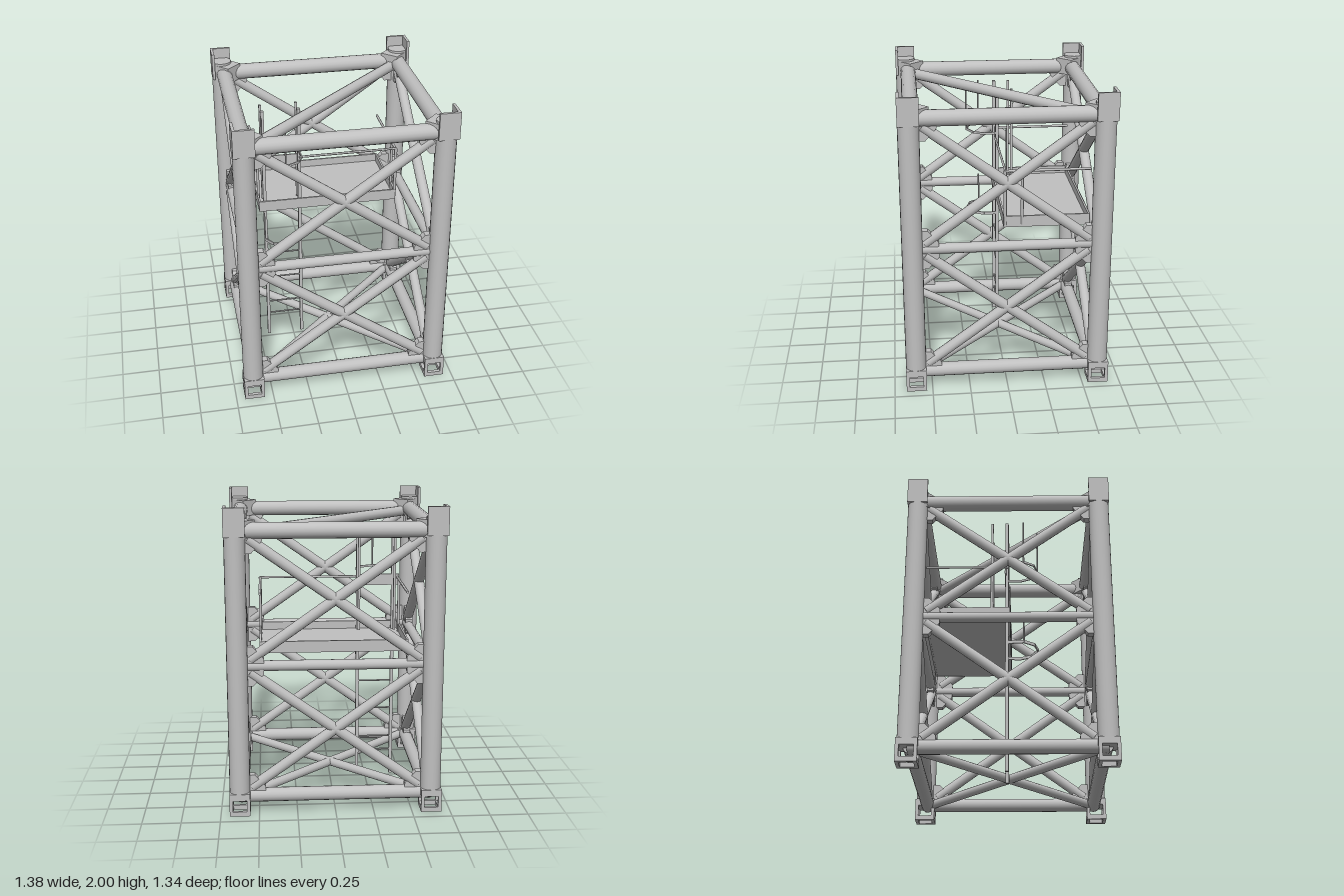
import * as THREE from 'three';

const steel = new THREE.MeshStandardMaterial({ color: 0xc0c0c0 });
steel.name = 'grey steel';
steel.side = THREE.DoubleSide;

const LX = 0.625, LZ = 0.605; // leg centre lines

export function createModel() {
  const root = new THREE.Group();
  root.name = 'mastSection';

  const group = (name) => {
    const g = new THREE.Group();
    g.name = name;
    root.add(g);
    return g;
  };
  const add = (parent, name, geo, x = 0, y = 0, z = 0) => {
    const m = new THREE.Mesh(geo, steel);
    m.name = name;
    m.position.set(x, y, z);
    parent.add(m);
    return m;
  };
  const box = (parent, name, w, h, d, x, y, z) =>
    add(parent, name, new THREE.BoxGeometry(w, h, d), x, y, z);
  // Round bar between two points
  const bar = (parent, name, a, b, r, sides = 12) => {
    const p = new THREE.Vector3(...a), q = new THREE.Vector3(...b);
    const dir = q.clone().sub(p);
    const m = add(parent, name, new THREE.CylinderGeometry(r, r, dir.length(), sides));
    m.position.copy(p).add(q).multiplyScalar(0.5);
    m.quaternion.setFromUnitVectors(new THREE.Vector3(0, 1, 0), dir.normalize());
    return m;
  };
  // Thin triangular plate lying in the XY plane, right angle at the origin
  const gusset = (sx, sy) => {
    const s = new THREE.Shape([
      new THREE.Vector2(0, 0), new THREE.Vector2(0.13 * sx, 0),
      new THREE.Vector2(0.13 * sx, 0.05 * sy), new THREE.Vector2(0.06 * sx, 0.13 * sy),
      new THREE.Vector2(0, 0.13 * sy),
    ]);
    return new THREE.ExtrudeGeometry(s, { depth: 0.05, bevelEnabled: false }).translate(0, 0, -0.025);
  };

  // Corner legs with open box feet and angle-section tops
  const legs = group('legs');
  for (const sx of [-1, 1]) for (const sz of [-1, 1]) {
    const x = sx * LX, z = sz * LZ;
    bar(legs, 'leg', [x, 0.11, z], [x, 1.93, z], 0.067, 20);
    for (const dx of [-1, 1]) for (const dz of [-1, 1])
      box(legs, 'footPost', 0.022, 0.13, 0.022, x + dx * 0.056, 0.065, z + dz * 0.056);
    for (const d of [-1, 1]) {
      box(legs, 'footSill', 0.134, 0.03, 0.022, x, 0.015, z + d * 0.056);
      box(legs, 'footSill', 0.022, 0.03, 0.134, x + d * 0.056, 0.015, z);
    }
    box(legs, 'footCap', 0.134, 0.045, 0.134, x, 0.128, z);
    box(legs, 'topAngle', 0.018, 0.18, 0.134, x + sx * 0.058, 1.91, z);
    box(legs, 'topAngle', 0.134, 0.18, 0.018, x, 1.91, z + sz * 0.058);
    // Sloping inner stiffener at the top corner
    const web = box(legs, 'topStiffener', 0.13, 0.11, 0.1, x - sx * 0.045, 1.86, z - sz * 0.045);
    web.rotation.y = sx * sz * Math.PI / 4;
  }

  // Four braced sides: horizontals, crossed diagonals and corner gussets
  const side = (name, half, place) => {
    const g = group(name);
    for (const [y, r] of [[0.115, 0.046], [0.99, 0.034], [1.85, 0.052]])
      bar(g, 'horizontal', [-half, y, 0], [half, y, 0], r, 16);
    for (const [lo, hi] of [[0.17, 0.95], [1.03, 1.8]])
      for (const s of [-1, 1]) {
        const e = half - 0.08;
        bar(g, 'diagonal', [-s * e, lo, 0], [s * e, hi, 0], 0.035);
        const corner = s * (half - 0.04);
        add(g, 'gusset', gusset(-s, 1), corner, lo - 0.04, 0);
        add(g, 'gusset', gusset(-s, -1), corner, hi + 0.04, 0);
      }
    place(g);
  };
  for (const s of [-1, 1]) {
    side(s > 0 ? 'frontFrame' : 'backFrame', LX, (g) => { g.position.z = s * 0.587; });
    side(s > 0 ? 'leftFrame' : 'rightFrame', LZ, (g) => {
      g.rotation.y = Math.PI / 2;
      g.position.x = s * 0.612;
    });
  }

  // Horizontal cross bracing
  const cross = group('crossBracing');
  bar(cross, 'topDiagonal', [-0.59, 1.83, 0.57], [0.57, 1.83, -0.54], 0.036);
  bar(cross, 'bottomDiagonal', [-0.58, 0.11, 0.56], [0.58, 0.11, -0.56], 0.03);
  bar(cross, 'bottomDiagonal', [-0.58, 0.11, -0.56], [0.58, 0.11, 0.56], 0.03);

  // Work platform with toe boards and handrail
  const platform = group('platform');
  box(platform, 'deck', 0.95, 0.02, 0.56, 0.005, 1.075, -0.27);
  for (const z of [0.005, -0.545]) box(platform, 'toeBoard', 0.95, 0.075, 0.012, 0.005, 1.1, z);
  for (const x of [-0.465, 0.475]) box(platform, 'toeBoard', 0.012, 0.075, 0.55, x, 1.1, -0.27);
  bar(platform, 'handrailPost', [0.475, 1.08, 0], [0.475, 1.45, 0], 0.011, 6);
  bar(platform, 'handrail', [-0.19, 1.45, 0], [0.48, 1.45, 0], 0.008, 6);
  for (const x of [-0.46, 0.475]) {
    bar(platform, 'handrail', [x, 1.445, 0], [x, 1.445, -0.55], 0.009, 6);
    bar(platform, 'handrailPost', [x, 1.08, -0.11], [x, 1.45, -0.11], 0.01, 6);
  }

  // Ladder rising through the platform edge
  const ladder = group('ladder');
  for (const x of [-0.43, -0.19]) {
    box(ladder, 'ladderRail', 0.022, 1.78, 0.022, x, 0.91, -0.01);
    box(ladder, 'ladderUpright', 0.016, 0.7, 0.016, x, 1.45, -0.11);
  }
  for (const y of [0.2, 0.3, 0.51, 0.71])
    bar(ladder, 'rung', [-0.43, y, -0.01], [-0.19, y, -0.01], 0.006, 5);

  // Safety cage: hoops and vertical strips
  const cage = group('ladderCage');
  const plan = [[-0.45, 0.1], [-0.44, 0.0], [-0.45, 0.1], [-0.4, 0.17], [-0.31, 0.195], [-0.22, 0.15], [-0.185, 0.08], [-0.19, -0.01]].slice(1);
  const hoop = (y, h) => {
    for (let i = 0; i < plan.length - 1; i++) {
      const [ax, az] = plan[i], [bx, bz] = plan[i + 1];
      const m = box(cage, 'hoopStrip', Math.hypot(bx - ax, bz - az), h, 0.008, (ax + bx) / 2, y, (az + bz) / 2);
      m.rotation.y = -Math.atan2(bz - az, bx - ax);
    }
  };
  hoop(0.895, 0.02);
  hoop(1.49, 0.015);
  box(cage, 'guardBand', 0.27, 0.075, 0.01, -0.335, 1.43, -0.02);
  for (const [x, z, lo, hi] of [[-0.31, 0.195, 1.49, 1.8], [-0.45, 0.1, 1.49, 1.8], [-0.45, 0.1, 0.9, 1.1]])
    bar(cage, 'cageStrip', [x, lo, z], [x, hi, z], 0.006, 5);

  return root;
}
